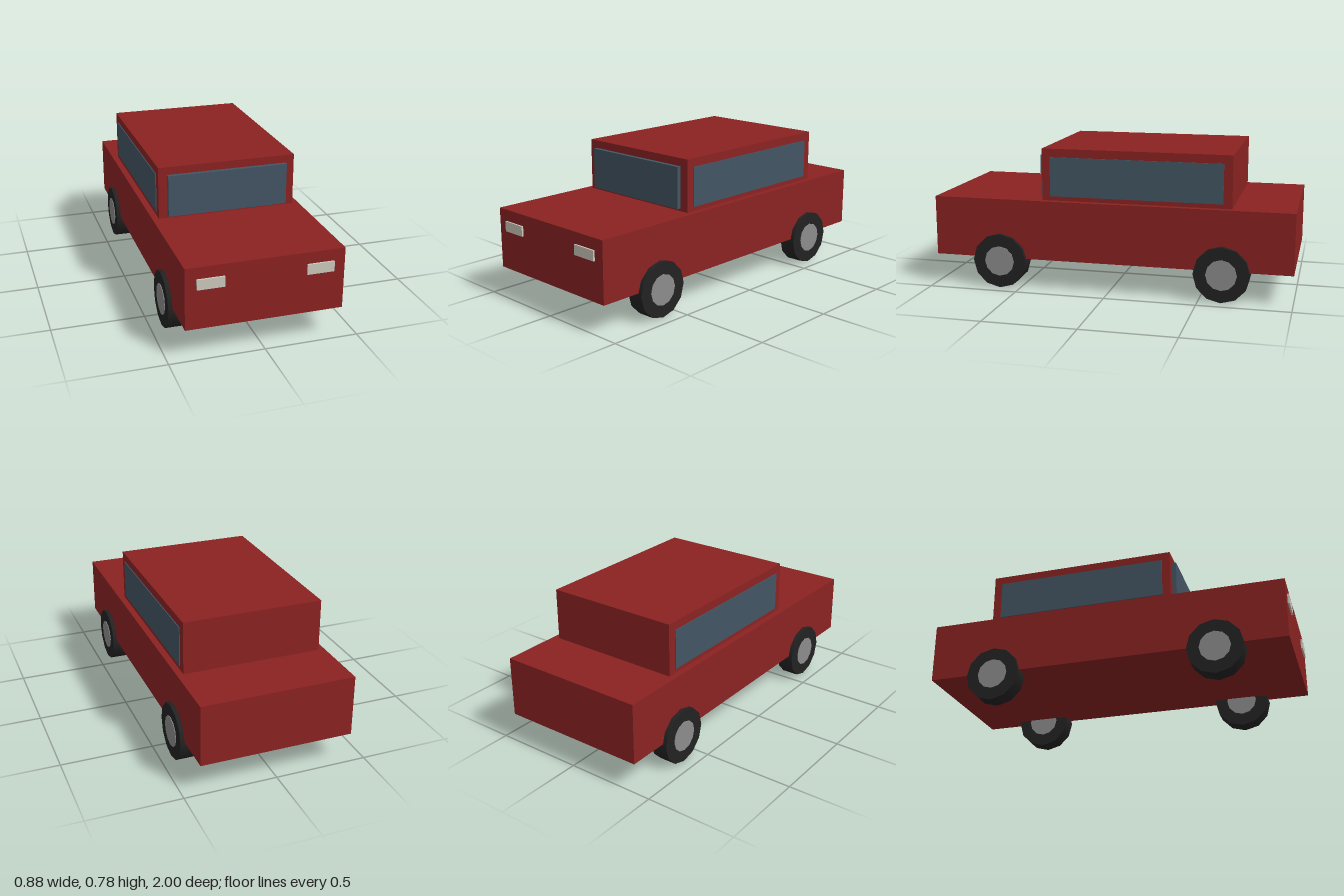
import * as THREE from 'three';

function material(name, color) {
  const m = new THREE.MeshStandardMaterial({ color });
  m.name = name;
  return m;
}

export function createModel() {
  const car = new THREE.Group();
  car.name = 'car';

  const paint = material('red paint', 0x8b2222);
  const glass = material('blue grey glass', 0x425563);
  const lamp = material('pale lamp', 0xccc8bc);
  const rubber = material('black rubber', 0x222222);
  const metal = material('grey metal', 0x8c8c8c);

  // Box given by its extents along each axis
  function block(name, mat, [x0, x1], [y0, y1], [z0, z1]) {
    const mesh = new THREE.Mesh(new THREE.BoxGeometry(x1 - x0, y1 - y0, z1 - z0), mat);
    mesh.position.set((x0 + x1) / 2, (y0 + y1) / 2, (z0 + z1) / 2);
    mesh.name = name;
    car.add(mesh);
  }

  // Body and cabin
  block('body', paint, [-0.413, 0.413], [0.167, 0.498], [-1, 0.99]);
  block('cabin', paint, [-0.378, 0.378], [0.498, 0.783], [-0.667, 0.373]);

  // Windscreen stands proud of the cabin front
  block('windscreen', glass, [-0.33, 0.33], [0.513, 0.74], [0.373, 0.397]);

  // Side windows and headlights, mirrored
  for (const [side, s] of [['left', 1], ['right', -1]]) {
    const span = (a, b) => (s > 0 ? [a, b] : [-b, -a]);
    block(side + 'Window', glass, span(0.376, 0.383), [0.522, 0.737], [-0.62, 0.328]);
    block(side + 'Headlight', lamp, span(0.212, 0.355), [0.381, 0.436], [0.99, 1]);
  }

  // Wheels: tyre with a hub showing on both faces
  const tyreGeometry = new THREE.CylinderGeometry(0.152, 0.152, 0.095, 12).rotateZ(Math.PI / 2);
  const hubGeometry = new THREE.CylinderGeometry(0.084, 0.084, 0.102, 12).rotateZ(Math.PI / 2);
  for (const [end, z] of [['front', 0.612], ['rear', -0.623]]) {
    for (const [side, s] of [['Left', 1], ['Right', -1]]) {
      const wheel = new THREE.Group();
      wheel.name = end + side + 'Wheel';
      const tyre = new THREE.Mesh(tyreGeometry, rubber);
      tyre.name = 'tyre';
      const hub = new THREE.Mesh(hubGeometry, metal);
      hub.name = 'hub';
      wheel.add(tyre, hub);
      wheel.position.set(s * 0.388, 0.152, z);
      car.add(wheel);
    }
  }
  return car;
}
